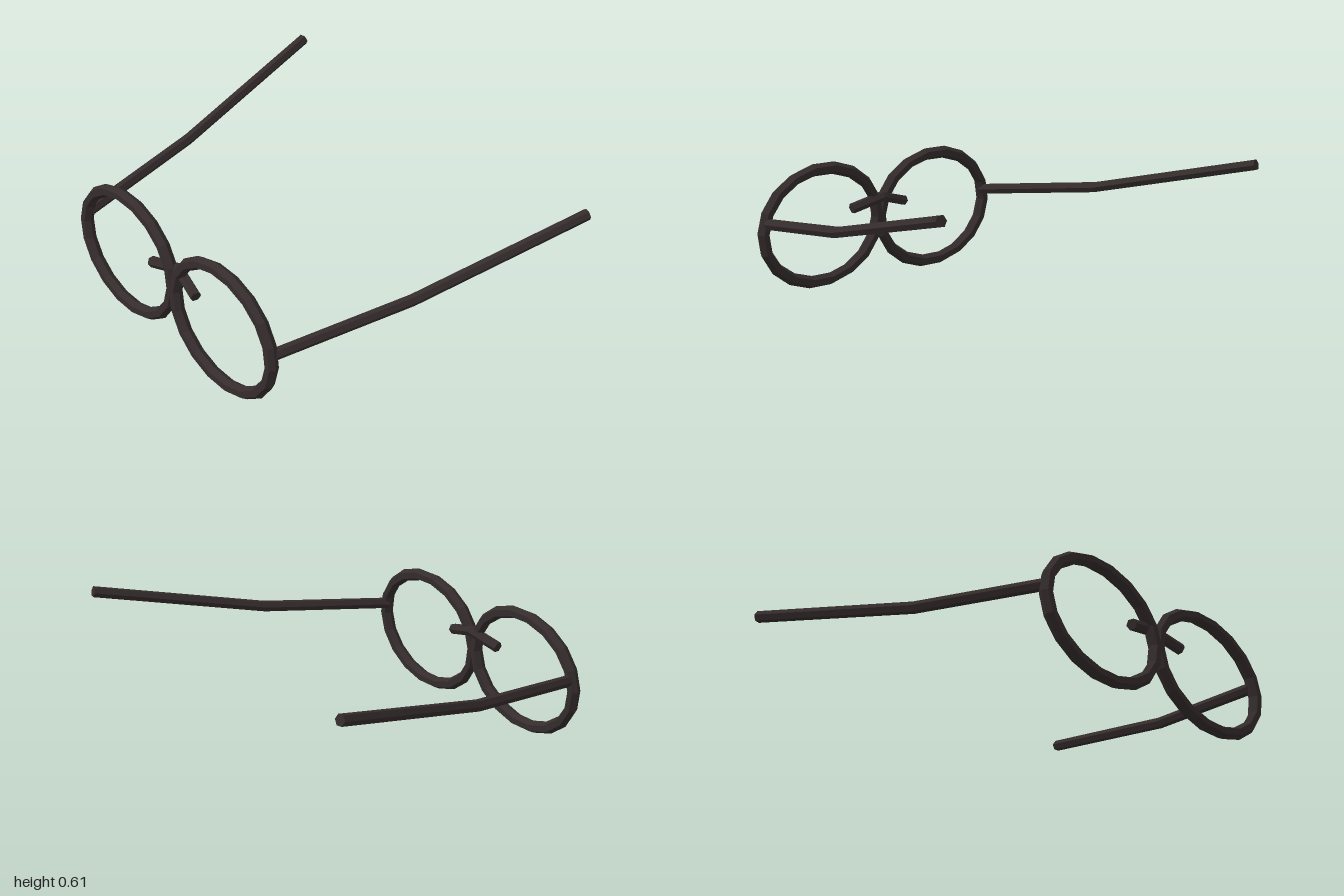
import * as THREE from 'three';

const SIDES = 6;

// Six-sided capped bar swept through a few points, mitred at the bends
function barGeometry(points, radius) {
  const pts = points.map((p) => new THREE.Vector3(...p));
  const last = pts.length - 1;
  const up = new THREE.Vector3(0, 1, 0);
  const pos = [];
  const idx = [];
  pts.forEach((p, i) => {
    const t = new THREE.Vector3();
    if (i > 0) t.add(p.clone().sub(pts[i - 1]).normalize());
    if (i < last) t.add(pts[i + 1].clone().sub(p).normalize());
    t.normalize();
    const side = t.clone().cross(up).normalize();
    const top = side.clone().cross(t);
    for (let j = 0; j < SIDES; j++) {
      const a = (j / SIDES) * Math.PI * 2;
      const v = p.clone()
        .addScaledVector(side, Math.cos(a) * radius)
        .addScaledVector(top, Math.sin(a) * radius);
      pos.push(v.x, v.y, v.z);
    }
  });
  for (let i = 0; i < last; i++) {
    for (let j = 0; j < SIDES; j++) {
      const a = i * SIDES + j;
      const b = i * SIDES + ((j + 1) % SIDES);
      idx.push(a, a + SIDES, b, b, a + SIDES, b + SIDES);
    }
  }
  const e = last * SIDES;
  for (let j = 1; j < SIDES - 1; j++) {
    idx.push(0, j, j + 1, e, e + j + 1, e + j);
  }
  const geo = new THREE.BufferGeometry();
  geo.setAttribute('position', new THREE.Float32BufferAttribute(pos, 3));
  geo.setIndex(idx);
  geo.computeVertexNormals();
  return geo;
}

// Oval ring: a torus squeezed in height while the tube keeps its thickness
function rimGeometry(rx, ry, tube) {
  const geo = new THREE.TorusGeometry(rx, tube, SIDES, 18);
  const p = geo.attributes.position;
  for (let i = 0; i < p.count; i++) {
    const a = Math.atan2(p.getY(i), p.getX(i));
    p.setY(i, p.getY(i) + Math.sin(a) * (ry - rx));
  }
  geo.computeVertexNormals();
  return geo;
}

export function createModel() {
  const group = new THREE.Group();
  group.name = 'glasses';
  const frame = new THREE.MeshStandardMaterial({ color: 0x352c2c, flatShading: true });
  frame.name = 'darkBrownFrame';

  const add = (name, geo) => {
    const mesh = new THREE.Mesh(geo, frame);
    mesh.name = name;
    group.add(mesh);
    return mesh;
  };

  for (const [side, s] of [['left', 1], ['right', -1]]) {
    // Rim, leaning slightly back at the top
    const rim = add(side + 'Rim', rimGeometry(0.337, 0.265, 0.029));
    rim.position.set(s * 0.346, 0.293, 0.708);
    rim.rotation.x = -0.06;

    // Temple arm, splayed outward and bent upward
    add(side + 'Temple', barGeometry([
      [s * 0.667, 0.34, 0.7],
      [s * 0.8, 0.408, 0.07],
      [s * 0.973, 0.587, -0.745],
    ], 0.026));
  }

  // Bridge bar, bent at the middle, reaching across both rims
  add('bridge', barGeometry([
    [-0.162, 0.345, 0.71],
    [0, 0.386, 0.683],
    [0.162, 0.345, 0.71],
  ], 0.025));

  return group;
}
